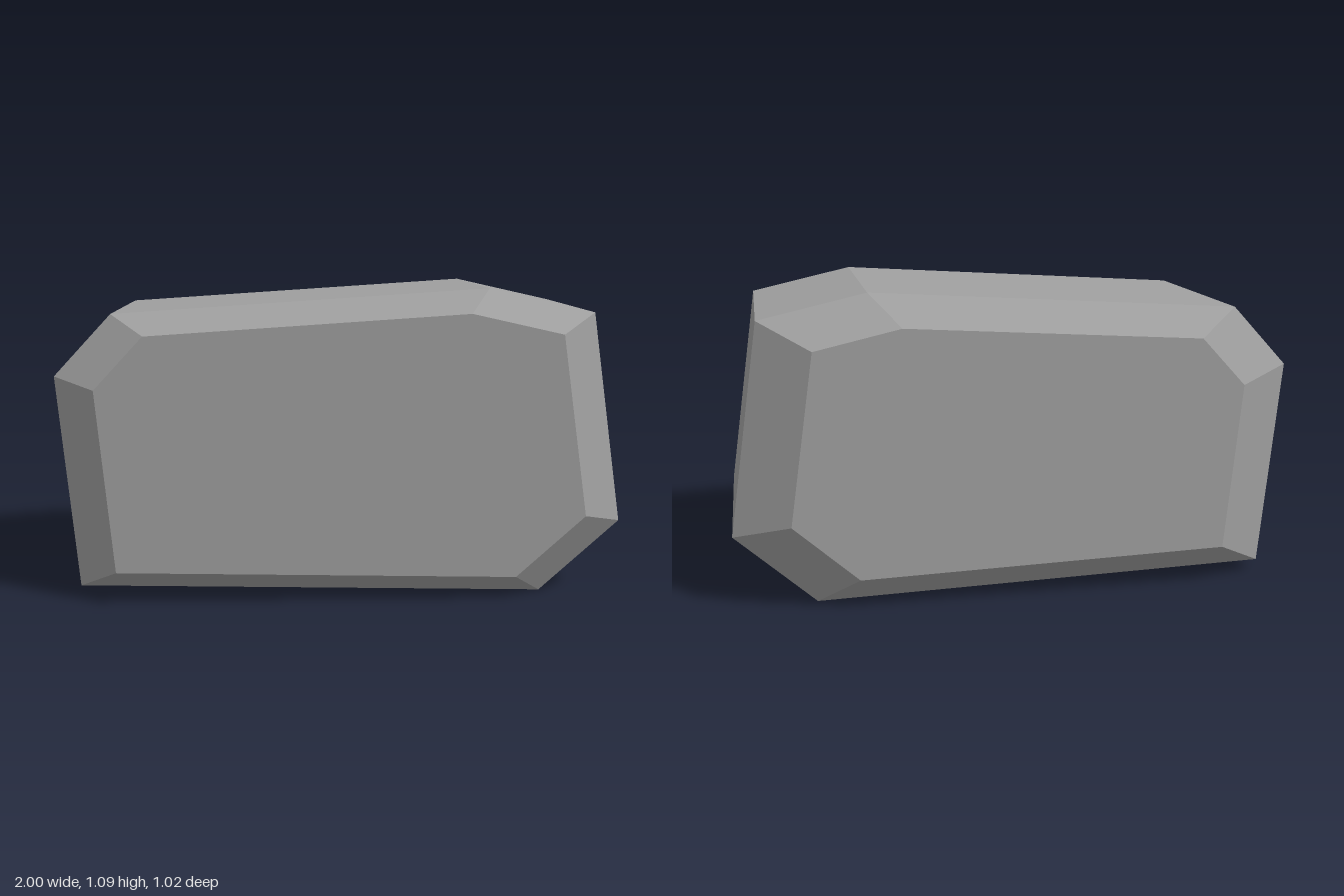
import * as THREE from 'three';

// Silhouette, counter-clockwise when seen from the front
const outline = [
  [-0.93, 0.04], [0.715, 0], [1, 0.255], [0.89, 1.005],
  [0.515, 1.09], [-0.8, 1.005], [-1, 0.79],
];
const CENTRE_Y = 0.555;

// Cross-section at depth z, shrunk towards the centre
function ring(scale, z) {
  return outline.map(([x, y]) => [x * scale, CENTRE_Y + (y - CENTRE_Y) * scale, z]);
}

function stoneGeometry() {
  const rings = [ring(0.85, 0.51), ring(1, 0.39), ring(1, -0.39), ring(0.8, -0.51)];
  const n = outline.length;
  const positions = [];
  const tri = (a, b, c) => positions.push(...a, ...b, ...c);

  // Front bevel, sides and back bevel
  for (let r = 0; r < rings.length - 1; r++) {
    for (let i = 0; i < n; i++) {
      const j = (i + 1) % n;
      const [a, b, c, d] = [rings[r][i], rings[r][j], rings[r + 1][i], rings[r + 1][j]];
      tri(a, c, d);
      tri(a, d, b);
    }
  }
  // Flat front and back faces
  const front = rings[0], back = rings[rings.length - 1];
  for (let i = 1; i < n - 1; i++) {
    tri(front[0], front[i], front[i + 1]);
    tri(back[0], back[i + 1], back[i]);
  }

  const geometry = new THREE.BufferGeometry();
  geometry.setAttribute('position', new THREE.Float32BufferAttribute(positions, 3));
  geometry.computeVertexNormals(); // unshared corners keep every facet flat
  return geometry;
}

export function createModel() {
  const stoneGrey = new THREE.MeshStandardMaterial({ color: 0xa0a0a0 });
  stoneGrey.name = 'stoneGrey';

  const stone = new THREE.Mesh(stoneGeometry(), stoneGrey);
  stone.name = 'stoneBlock';

  const model = new THREE.Group();
  model.name = 'stone';
  model.add(stone);
  return model;
}
